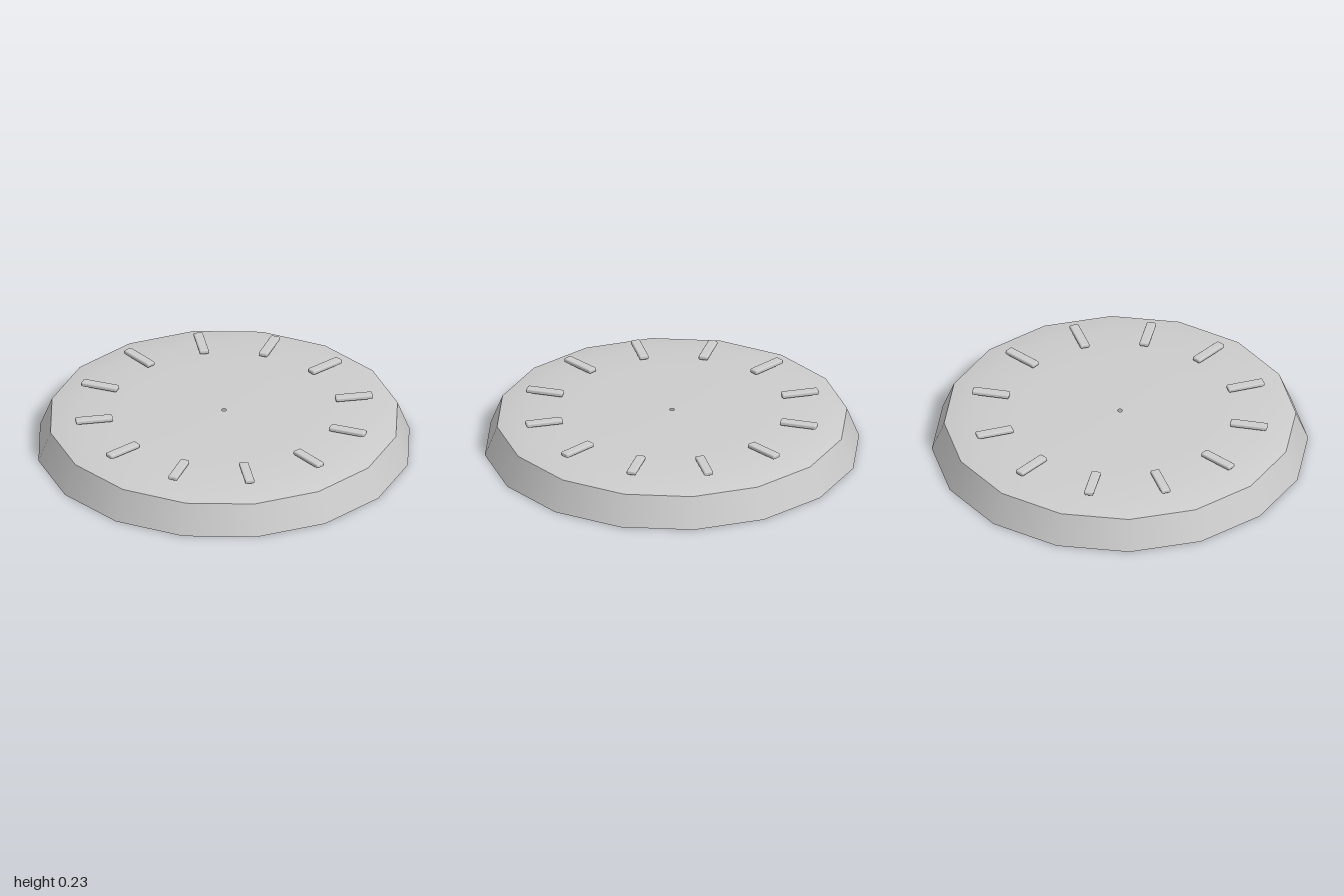
import * as THREE from 'three';
import { RoundedBoxGeometry } from 'three/addons/geometries/RoundedBoxGeometry.js';

const SIDES = 16;

const lightGrey = new THREE.MeshStandardMaterial({ color: 0xcccccc, side: THREE.DoubleSide });
lightGrey.name = 'lightGrey';

// Sixteen-sided surface of revolution from [radius, height] pairs
function ring(name, profile) {
  const points = profile.map(([r, y]) => new THREE.Vector2(r, y));
  const mesh = new THREE.Mesh(new THREE.LatheGeometry(points, SIDES), lightGrey);
  mesh.name = name;
  return mesh;
}

export function createModel() {
  const model = new THREE.Group();
  model.name = 'clockDial';

  // Open-bottomed shell: tapered wall, then a shallow domed face with a centre hole
  model.add(ring('sideWall', [[1, 0], [0.935, 0.165]]));
  model.add(ring('dialFace', [[0.935, 0.165], [0.77, 0.2], [0.5, 0.206], [0.1, 0.211], [0.013, 0.212]]));

  // Twelve raised hour markers
  const markerShape = new RoundedBoxGeometry(0.2, 0.024, 0.05, 2, 0.008);
  const markers = new THREE.Group();
  markers.name = 'hourMarkers';
  for (let i = 0; i < 12; i++) {
    const angle = (i * Math.PI) / 6;
    const marker = new THREE.Mesh(markerShape, lightGrey);
    marker.name = `hourMarker${i + 1}`;
    marker.position.set(Math.cos(angle) * 0.7, 0.223, -Math.sin(angle) * 0.7);
    marker.rotation.y = angle;
    markers.add(marker);
  }
  model.add(markers);

  return model;
}
